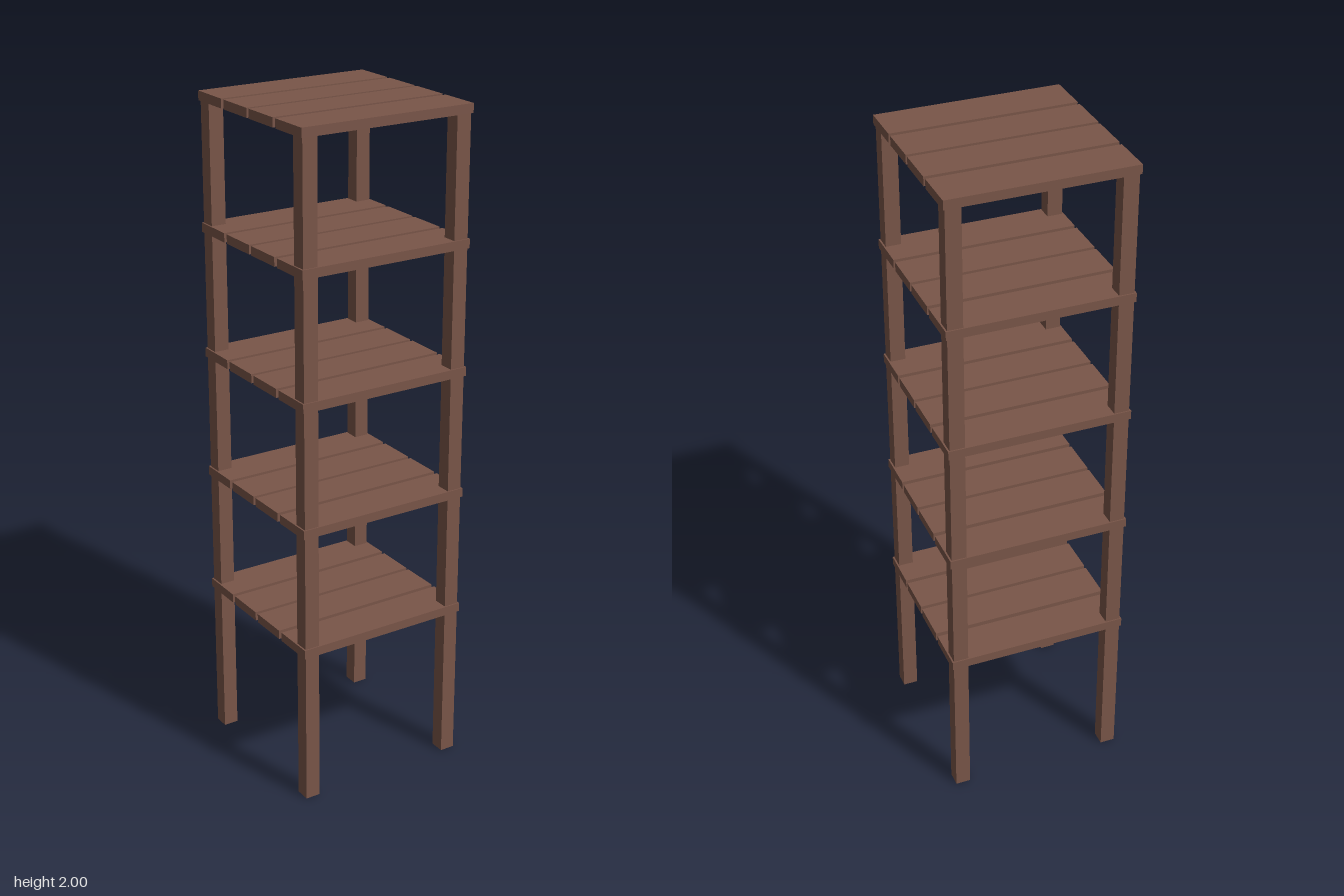
import * as THREE from 'three';

export function createModel() {
  const model = new THREE.Group();
  model.name = 'slattedShelf';
  const wood = new THREE.MeshStandardMaterial({ color: 0x795548 });
  wood.name = 'brown wood';

  const addBox = (parent, name, size, position) => {
    const mesh = new THREE.Mesh(new THREE.BoxGeometry(...size), wood);
    mesh.name = name;
    mesh.position.set(...position);
    parent.add(mesh);
  };

  // Four square corner posts, ending inside the top shelf
  const post = 0.045, postHeight = 1.99, postCentre = 0.2435;
  for (const [side, sx] of [['Left', 1], ['Right', -1]]) {
    for (const [end, sz] of [['front', 1], ['back', -1]]) {
      addBox(model, `${end}${side}Leg`, [post, postHeight, post],
        [sx * postCentre, postHeight / 2, sz * postCentre]);
    }
  }

  // Five shelves of four slats; the outer slats are slightly deeper
  const thickness = 0.027, spacing = 0.3755, width = 0.542;
  const slats = [[-0.27, -0.142], [-0.128, -0.006], [0.006, 0.128], [0.142, 0.27]];
  for (let i = 0; i < 5; i++) {
    const shelf = new THREE.Group();
    shelf.name = `shelf${5 - i}`;
    shelf.position.y = 2 - thickness / 2 - i * spacing;
    slats.forEach(([z0, z1], n) =>
      addBox(shelf, `slat${n + 1}`, [width, thickness, z1 - z0], [0, 0, (z0 + z1) / 2]));
    model.add(shelf);
  }
  return model;
}
